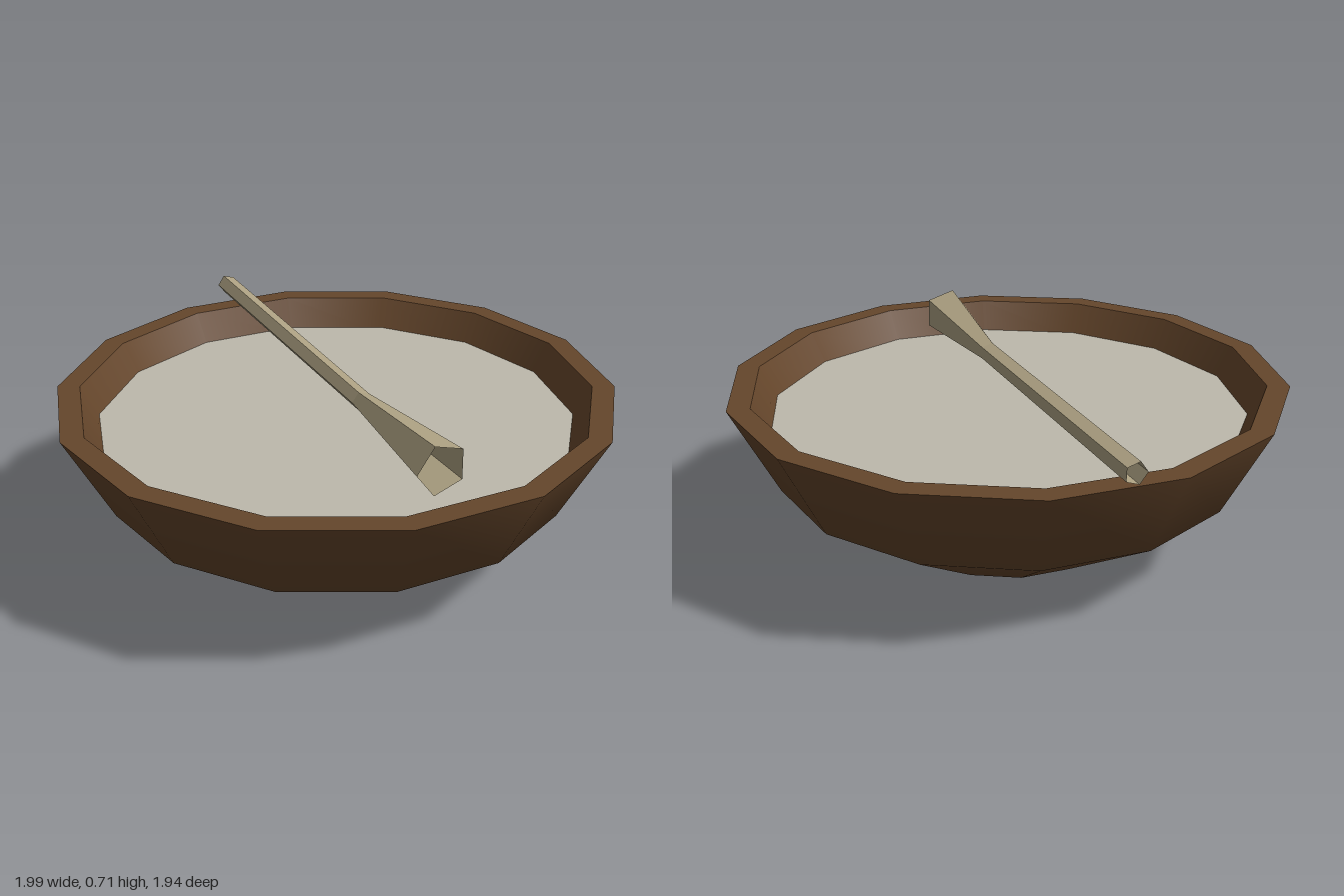
import * as THREE from 'three';

const SIDES = 14;

function named(name, geometry, material) {
  const mesh = new THREE.Mesh(geometry, material);
  mesh.name = name;
  return mesh;
}

// Ring of revolution with a corner on the x axis
function lathe(points) {
  return new THREE.LatheGeometry(points.map(([r, y]) => new THREE.Vector2(r, y)), SIDES, Math.PI / 2);
}

// Open five-sided tube through sections [x, y, z, radius]
function pentagonTube(sections) {
  const across = new THREE.Vector3(-0.2, 0, 0.98);
  const corner = (i, j) => {
    const [x, y, z, r] = sections[i];
    const a = THREE.MathUtils.degToRad(-1 + 72 * j);
    return new THREE.Vector3(x, y + r * Math.sin(a), z).addScaledVector(across, r * Math.cos(a)).toArray();
  };
  const positions = [];
  for (let i = 0; i < sections.length - 1; i++) {
    for (let j = 0; j < 5; j++) {
      const a = corner(i, j), b = corner(i + 1, j), c = corner(i + 1, j + 1), d = corner(i, j + 1);
      positions.push(...a, ...b, ...c, ...a, ...c, ...d);
    }
  }
  const geometry = new THREE.BufferGeometry();
  geometry.setAttribute('position', new THREE.Float32BufferAttribute(positions, 3));
  geometry.computeVertexNormals();
  return geometry;
}

export function createModel() {
  const wood = new THREE.MeshStandardMaterial({ name: 'dark wood', color: 0x65462b, side: THREE.DoubleSide });
  const porridgeGrey = new THREE.MeshStandardMaterial({ name: 'porridge grey', color: 0xbdb9ac });
  const paleWood = new THREE.MeshStandardMaterial({
    name: 'pale wood', color: 0xaea283, side: THREE.DoubleSide, flatShading: true,
  });

  const model = new THREE.Group();
  model.name = 'bowlWithSpoon';

  // Bowl: smooth outside, flat rim, sloping inside
  const bowl = new THREE.Group();
  bowl.name = 'bowl';
  bowl.add(
    named('bowlOutside', lathe([[0, 0], [0.4, 0], [0.835, 0.28], [0.995, 0.6]]), wood),
    named('bowlRim', lathe([[0.995, 0.6], [0.915, 0.6]]), wood),
    named('bowlInside', lathe([[0.915, 0.6], [0.845, 0.47]]), wood),
  );

  // Contents
  const porridge = named('porridge', new THREE.CircleGeometry(0.857, SIDES).rotateX(-Math.PI / 2), porridgeGrey);
  porridge.position.y = 0.49;

  // Spoon: thin handle flaring into a hollow head
  const spoon = named('spoon', pentagonTube([
    [-0.99, 0.663, -0.2, 0.038],
    [0.19, 0.626, 0.04, 0.036],
    [0.717, 0.624, 0.156, 0.091],
  ]), paleWood);

  model.add(bowl, porridge, spoon);
  return model;
}
